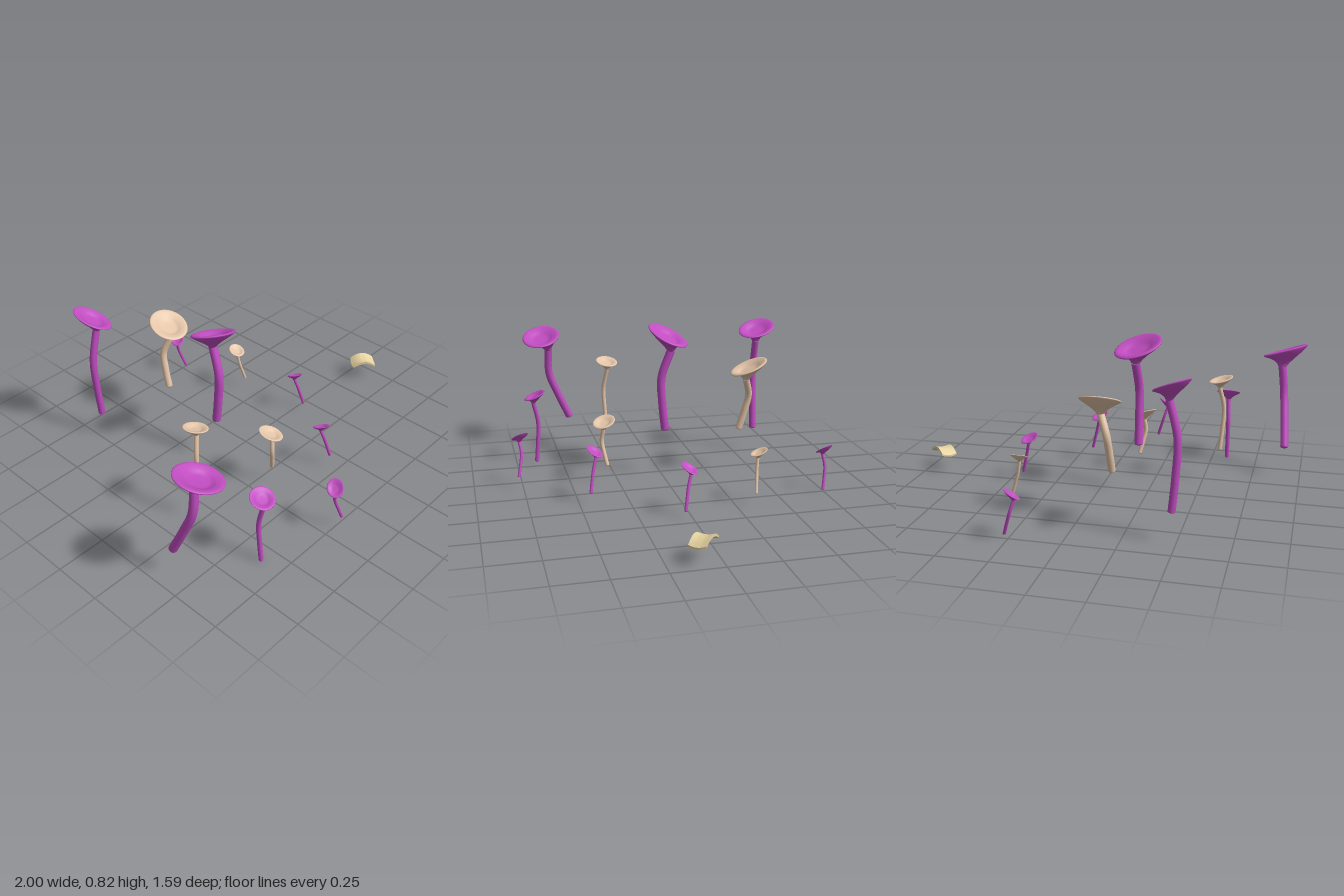
import * as THREE from 'three';
import { mergeVertices, toCreasedNormals } from 'three/addons/utils/BufferGeometryUtils.js';

const purple = new THREE.MeshStandardMaterial({ color: 0xc04cc0 });
const tan = new THREE.MeshStandardMaterial({ color: 0xe3c4a8 });
const straw = new THREE.MeshStandardMaterial({ color: 0xe6d2a0 });

const STEM_RATIO = 0.185; // stem radius as a share of the cap radius
const RIM_INDEX = 25; // cap section point on the crest of the rim

// Cap section as radius and height: -1 is the stem joint, 0 the rim plane
const capSection = new THREE.SplineCurve([
  new THREE.Vector2(STEM_RATIO, -1.05),
  new THREE.Vector2(0.28, -0.82),
  new THREE.Vector2(0.5, -0.52),
  new THREE.Vector2(0.8, -0.22),
  new THREE.Vector2(1, 0.02),
  new THREE.Vector2(0.9, 0.12),
  new THREE.Vector2(0.66, 0),
  new THREE.Vector2(0.4, -0.2),
  new THREE.Vector2(0, -0.23),
]).getPoints(40);

// Dished cap: a funnel growing out of the stem top, its rim tilted by a shear
function capGeometry(centre, [rx, rz], [sx, sz], top) {
  let geo = new THREE.LatheGeometry(capSection, 40);
  const pos = geo.attributes.position;
  for (let i = 0; i < pos.count; i++) {
    const h = pos.getY(i);
    const outside = i % capSection.length <= RIM_INDEX;
    const w = outside ? THREE.MathUtils.clamp(-h, 0, 1) : 0;
    const x = pos.getX(i) * rx, z = pos.getZ(i) * rz;
    pos.setXYZ(i,
      centre.x + x + (top.x - centre.x) * w,
      centre.y + h * (centre.y - top.y) + (sx * x + sz * z) * (1 - w),
      centre.z + z + (top.z - centre.z) * w);
  }
  geo.deleteAttribute('uv');
  geo.deleteAttribute('normal');
  geo = mergeVertices(geo, 1e-5);
  geo.computeVertexNormals();
  return geo;
}

// One mushroom. at: cap centre; slope: rise of the rim along x and z;
// bend: sideways bulge of the stem; neck: extra shift of the stem top along z
function mushroom(name, material, { at, radii, slope, foot, bend, neck = 0 }) {
  const group = new THREE.Group();
  group.name = name;
  const add = (part, geo) => {
    const mesh = new THREE.Mesh(geo, material);
    mesh.name = part;
    group.add(mesh);
    return mesh;
  };
  const size = Math.max(...radii), radius = size * STEM_RATIO;
  const centre = new THREE.Vector3(...at), start = new THREE.Vector3(...foot);
  // the stem meets the cap slightly towards the low side of the rim
  const top = new THREE.Vector3(-0.3 * slope[0], -0.64, -0.3 * slope[1]).multiplyScalar(size).add(centre);
  top.z += neck;
  const bulge = new THREE.Vector3(bend[0], 0, bend[1]);
  const curve = new THREE.CatmullRomCurve3([
    start,
    start.clone().lerp(top, 0.34).addScaledVector(bulge, 0.65),
    start.clone().lerp(top, 0.66).add(bulge),
    top,
  ]);
  add('stem', new THREE.TubeGeometry(curve, 32, radius, 16, false));
  const end = add('stemFoot', new THREE.SphereGeometry(radius, 16, 10));
  end.scale.y = 0.45;
  end.position.copy(start);
  end.quaternion.setFromUnitVectors(new THREE.Vector3(0, 1, 0), curve.getTangent(0));
  add('cap', capGeometry(centre, radii, slope, top));
  return group;
}

// Small mushroom leaning towards -x
const leftLeaning = (name, x, y, z) => mushroom(name, purple, {
  at: [x, y, z], radii: [0.037, 0.042], slope: [0.65, -0.3],
  foot: [x + 0.046, y - 0.2, z + 0.016], bend: [0, -0.012],
});

// Small mushroom leaning towards +x and the back
const rightLeaning = (name, x, y, z) => mushroom(name, purple, {
  at: [x, y, z], radii: [0.044, 0.04], slope: [-0.3, 0.45],
  foot: [x + 0.047, y - 0.197, z + 0.03], bend: [0, 0.004],
});

// Small arched flake
function flake() {
  const L = 0.137, W = 0.085;
  const geo = new THREE.BoxGeometry(L, 0.014, W, 16, 1, 10);
  const pos = geo.attributes.position;
  for (let i = 0; i < pos.count; i++) {
    const u = pos.getX(i) / (L / 2), w = pos.getZ(i) / (W / 2);
    const thick = pos.getY(i) * (1 - 0.35 * u * u);
    pos.setY(i, thick + 0.012 - 0.026 * u * u + 0.008 * w * w - 0.004 * w);
    pos.setX(i, pos.getX(i) * (1 - 0.06 * w * w));
  }
  const mesh = new THREE.Mesh(toCreasedNormals(geo, 0.7), straw);
  mesh.name = 'flake';
  mesh.position.set(0.919, 0.1, 0.083);
  mesh.rotation.y = -0.7;
  return mesh;
}

export function createModel() {
  const group = new THREE.Group();
  group.name = 'mushroomPatch';

  // large mushrooms
  group.add(mushroom('leftLargeMushroom', purple, {
    at: [-0.885, 0.655, 0.56], radii: [0.115, 0.105], slope: [-0.33, -0.15],
    foot: [-0.912, 0.165, 0.405], bend: [-0.003, 0.038], neck: -0.045,
  }));
  group.add(mushroom('centreLargeMushroom', purple, {
    at: [-0.195, 0.765, -0.033], radii: [0.119, 0.1], slope: [-0.25, 0.38],
    foot: [-0.2, 0.26, -0.017], bend: [-0.006, 0.038],
  }));
  group.add(mushroom('backLargeMushroom', purple, {
    at: [-0.465, 0.73, -0.613], radii: [0.084, 0.1], slope: [-0.38, -0.25],
    foot: [-0.475, 0.15, -0.607], bend: [-0.033, 0],
  }));
  group.add(mushroom('backPaleMushroom', tan, {
    at: [-0.105, 0.595, -0.45], radii: [0.099, 0.095], slope: [0, -0.42],
    foot: [-0.155, 0.25, -0.418], bend: [-0.017, -0.033],
  }));

  // medium mushrooms
  group.add(mushroom('frontPaleMushroom', tan, {
    at: [-0.165, 0.33, 0.32], radii: [0.06, 0.058], slope: [-0.28, -0.25],
    foot: [-0.14, 0.1, 0.31], bend: [-0.015, 0.013],
  }));
  group.add(mushroom('leftPaleMushroom', tan, {
    at: [-0.58, 0.558, 0.228], radii: [0.061, 0.059], slope: [-0.27, 0.08],
    foot: [-0.585, 0.18, 0.235], bend: [-0.02, 0.016],
  }));
  group.add(mushroom('frontMediumMushroom', purple, {
    at: [-0.58, 0.386, 0.637], radii: [0.063, 0.055], slope: [0, -0.42],
    foot: [-0.583, 0.006, 0.637], bend: [-0.004, -0.02],
  }));

  // small mushrooms
  group.add(mushroom('rightPaleMushroom', tan, {
    at: [0.322, 0.265, -0.368], radii: [0.043, 0.042], slope: [0, -0.4],
    foot: [0.365, 0.068, -0.345], bend: [-0.005, 0],
  }));
  group.add(leftLeaning('frontSmallMushroom', -0.205, 0.268, 0.755));
  group.add(leftLeaning('backSmallMushroom', 0.225, 0.22, -0.755));
  group.add(rightLeaning('middleSmallMushroom', 0.112, 0.263, 0.415));
  group.add(rightLeaning('rightSmallMushroom', 0.392, 0.235, 0.003));

  group.add(flake());
  return group;
}
